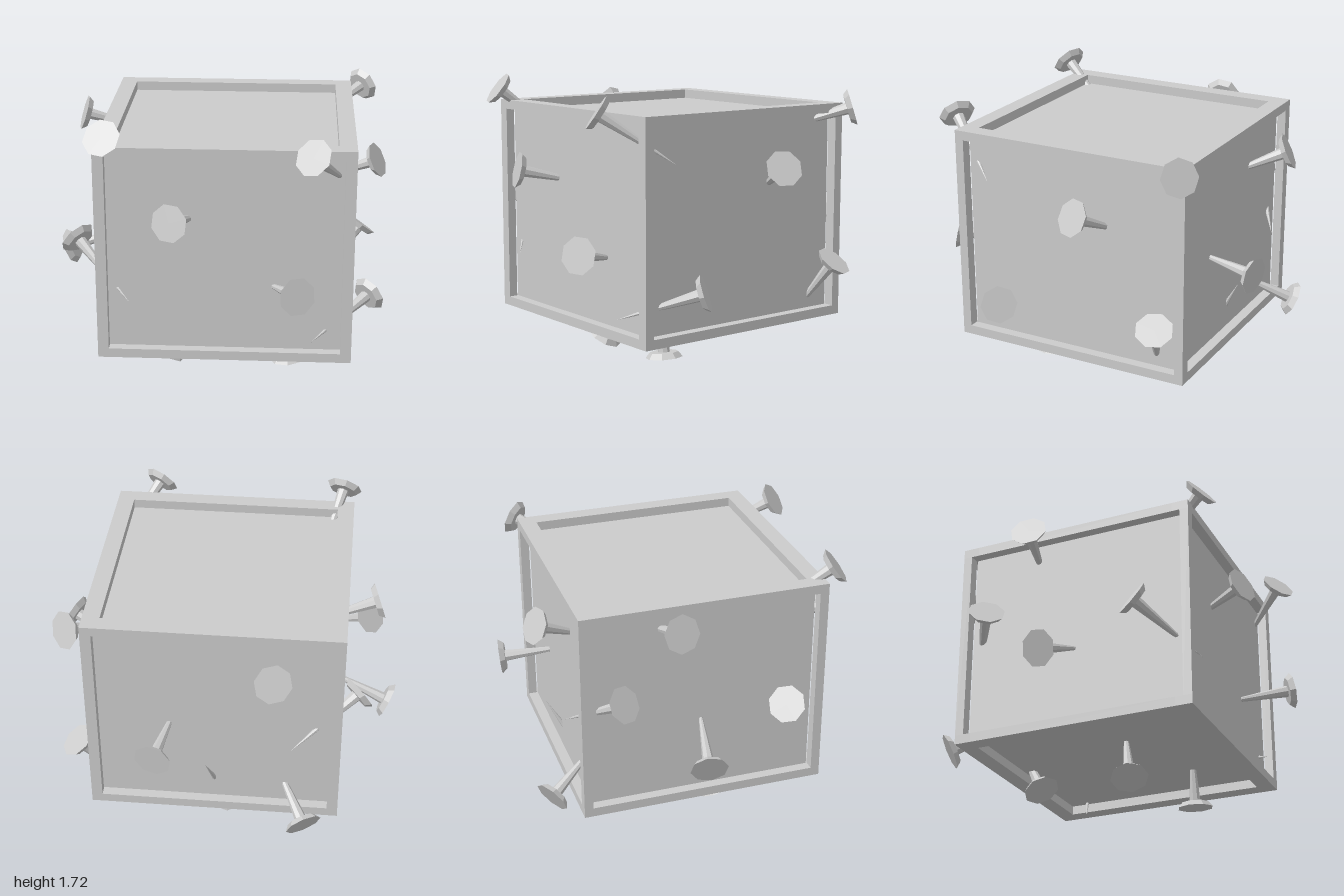
import * as THREE from 'three';

const MAT = new THREE.MeshStandardMaterial({ color: 0xcccccc, flatShading: true });
const X0 = -0.69, X1 = 0.777, Y0 = 0.283, Y1 = 1.565, Z0 = -0.737, Z1 = 0.73;

// Box given by its minimum and maximum corner
function block(name, x0, x1, y0, y1, z0, z1) {
  const mesh = new THREE.Mesh(new THREE.BoxGeometry(x1 - x0, y1 - y0, z1 - z0), MAT);
  mesh.position.set((x0 + x1) / 2, (y0 + y1) / 2, (z0 + z1) / 2);
  mesh.name = name;
  return mesh;
}

// Crate: recessed core inside a frame of bars and corner posts
function makeCrate() {
  const crate = new THREE.Group();
  crate.name = 'crate';
  const rail = 0.1, h = 0.055, px = 0.063, pz = 0.053, d = 0.06;
  crate.add(block('recessedPanels', X0 + d, X1 - d, Y0 + h, Y1 - h, Z0 + d, Z1 - d));
  for (const [y0, y1] of [[Y0, Y0 + h], [Y1 - h, Y1]]) {
    for (const [z0, z1] of [[Z0, Z0 + rail], [Z1 - rail, Z1]])
      crate.add(block('crossRail', X0, X1, y0, y1, z0, z1));
    for (const [x0, x1] of [[X0, X0 + rail], [X1 - rail, X1]])
      crate.add(block('sideRail', x0, x1, y0, y1, Z0 + rail, Z1 - rail));
  }
  for (const [x0, x1] of [[X0, X0 + px], [X1 - px, X1]])
    for (const [z0, z1] of [[Z0, Z0 + pz], [Z1 - pz, Z1]])
      crate.add(block('cornerPost', x0, x1, Y0 + h, Y1 - h, z0, z1));
  return crate;
}

// Nail: bevelled octagonal head at the origin facing +y, shaft tapering to a point
const headGeo = new THREE.CylinderGeometry(0.11, 0.085, 0.032, 8);
const shaftGeo = new THREE.CylinderGeometry(0.036, 0.0, 0.5, 8).translate(0, -0.262, 0);

function makeNail([x, y, z, nx, ny, nz]) {
  const nail = new THREE.Group();
  nail.name = 'nail';
  const head = new THREE.Mesh(headGeo, MAT);
  head.name = 'nailHead';
  const shaft = new THREE.Mesh(shaftGeo, MAT);
  shaft.name = 'nailShaft';
  nail.add(head, shaft);
  nail.position.set(x, y, z);
  nail.quaternion.setFromUnitVectors(
    new THREE.Vector3(0, 1, 0), new THREE.Vector3(nx, ny, nz).normalize());
  return nail;
}

// Head centre and outward direction of each nail, by face
const NAILS = {
  front: [
    [-0.62, 1.63, 0.78, -0.25, 0.6, 0.75],
    [0.54, 1.57, 0.87, -0.47, 0.55, 0.69],
    [0.455, 0.79, 0.94, 0.42, 0.2, 0.88],
    [-0.245, 1.185, 0.88, -0.34, 0.22, 0.9],
  ],
  left: [
    [0.92, 1.23, -0.135, 0.85, 0.42, 0.32],
    [0.875, 0.575, 0.41, 0.66, 0.31, -0.68],
    [0.86, 0.625, -0.6, 0.57, 0.8, -0.22],
    [0.845, 1.54, -0.73, 0.65, 0.3, -0.7],
  ],
  right: [
    [-0.85, 1.48, -0.21, -0.94, 0.3, 0.18],
    [-0.77, 1.045, -0.52, -0.72, 0.5, 0.48],
    [-0.825, 0.905, 0.445, -0.64, 0.53, -0.56],
    [-0.945, 0.655, -0.07, -0.91, -0.37, -0.17],
  ],
  back: [
    [-0.3, 1.365, -0.88, -0.28, 0.42, -0.87],
    [0.36, 0.845, -0.96, 0.19, -0.1, -0.96],
    [-0.49, 0.34, -0.87, -0.45, -0.45, -0.77],
  ],
  bottom: [
    [-0.335, 0.07, 0.205, -0.42, -0.87, 0.24],
    [0.41, 0.12, 0.32, 0.12, -0.99, 0],
    [-0.015, 0.21, -0.52, -0.2, -0.85, 0.48],
  ],
};

export function createModel() {
  const model = new THREE.Group();
  model.name = 'nailedCrate';
  model.add(makeCrate());
  for (const [face, list] of Object.entries(NAILS)) {
    const group = new THREE.Group();
    group.name = face + 'Nails';
    list.forEach((n) => group.add(makeNail(n)));
    model.add(group);
  }
  return model;
}
